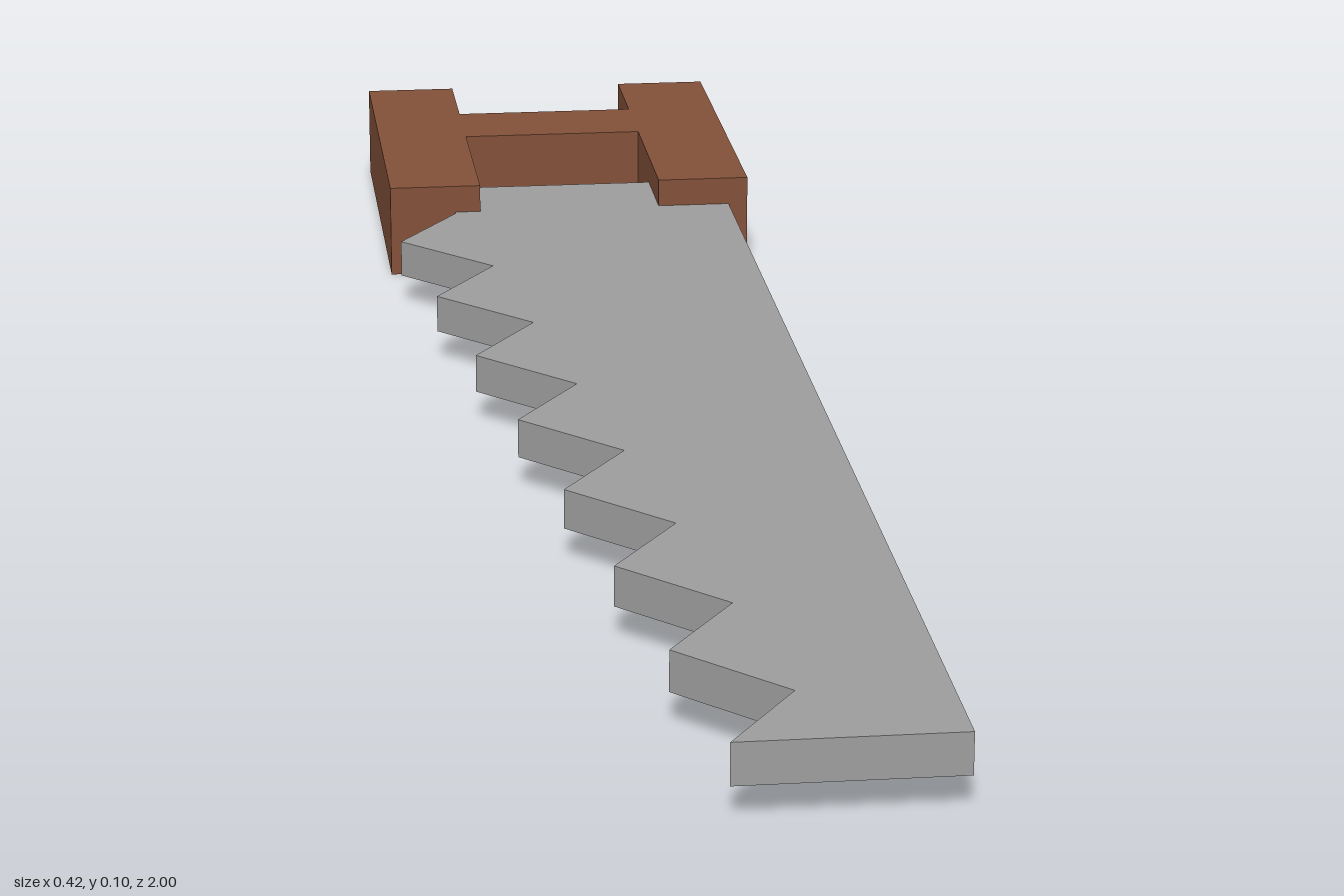
import * as THREE from 'three';

// Extrudes an outline of [x, z] points between two heights
function slab(points, bottom, top, material, name) {
  const shape = new THREE.Shape(points.map(([x, z]) => new THREE.Vector2(x, z)));
  const geometry = new THREE.ExtrudeGeometry(shape, { depth: top - bottom, bevelEnabled: false });
  geometry.rotateX(Math.PI / 2).translate(0, top, 0);
  const mesh = new THREE.Mesh(geometry, material);
  mesh.name = name;
  return mesh;
}

export function createModel() {
  const steel = new THREE.MeshStandardMaterial({ color: 0x9e9e9e });
  steel.name = 'steel grey';
  const wood = new THREE.MeshStandardMaterial({ color: 0x83513a });
  wood.name = 'wood brown';

  const group = new THREE.Group();
  group.name = 'handSaw';

  // Blade: straight back, eight teeth along a tapering edge
  const blade = [[0.186, -0.665], [0.186, 1]];
  for (let i = 0; i < 8; i++) {
    blade.push([-0.021 - 0.026 * i, 1 - 0.208 * i]);
    blade.push([0.049 - 0.026 * i, 0.895 - 0.208 * i]);
  }
  blade.push([-0.133, -0.665]);
  group.add(slab(blade, 0.033, 0.073, steel, 'blade'));

  // Handle: H outline, two grips joined by a crossbar
  const w = 0.208, h = 0.104, back = -1, front = -0.566, barBack = -0.88, barFront = -0.777;
  const half = [[h, barBack], [h, back], [w, back], [w, front], [h, front], [h, barFront]];
  const mirrored = half.map(([x, z]) => [-x, z]).reverse();
  group.add(slab([...half, ...mirrored], 0, 0.104, wood, 'handle'));

  return group;
}
